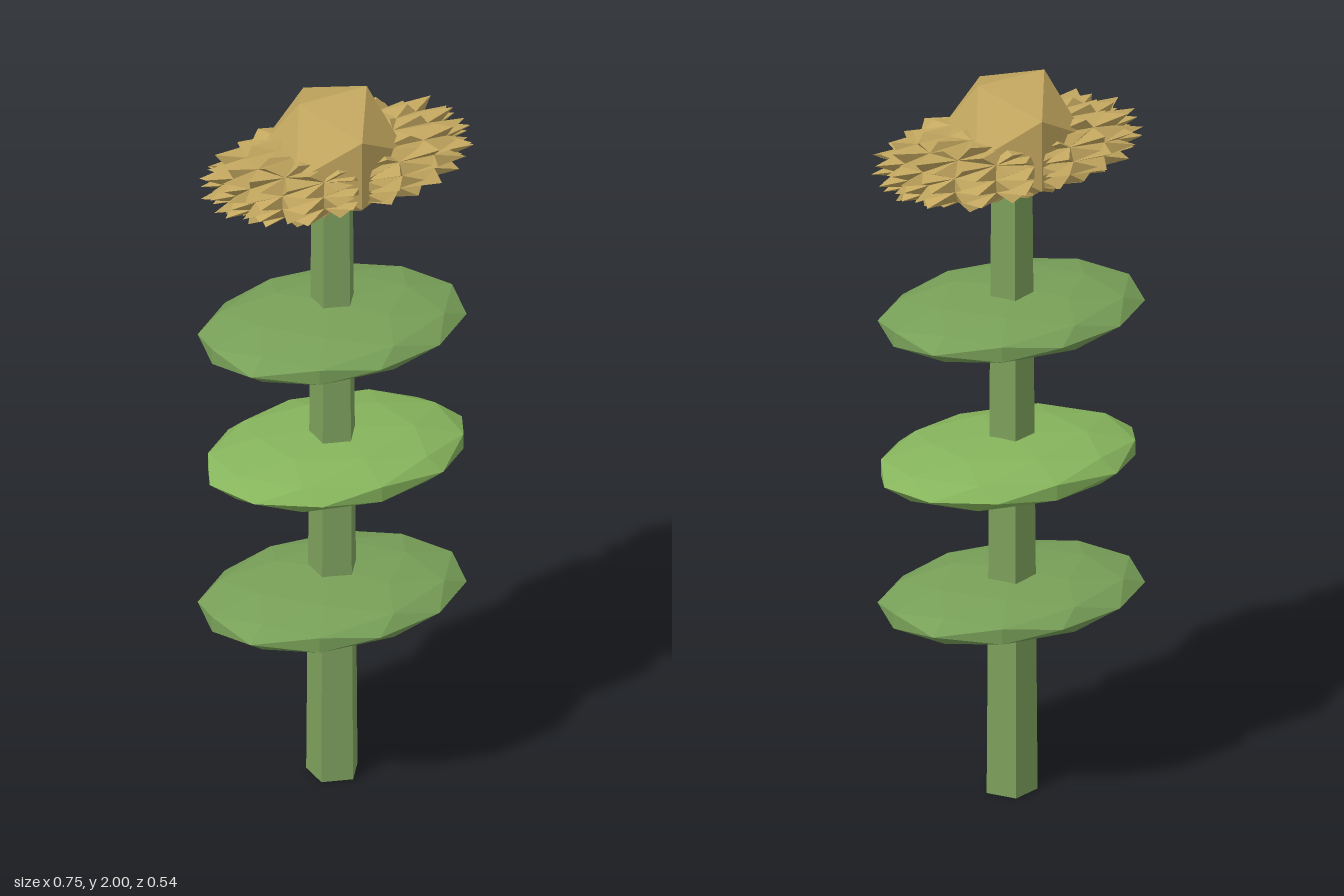
import * as THREE from 'three';

const paint = (color) => new THREE.MeshStandardMaterial({ color, flatShading: true });

function addPart(group, name, geometry, material, x, y, z) {
  const mesh = new THREE.Mesh(geometry, material);
  mesh.name = name;
  mesh.position.set(x, y, z);
  group.add(mesh);
  return mesh;
}

// Flattened, slightly boxy ball with one pointed spike on every facet
function spikyHead(rx, ry, rz) {
  const base = new THREE.IcosahedronGeometry(1, 2).getAttribute('position');
  const p = 2.5;
  const place = (v, r) => {
    const n = (Math.abs(v.x) ** p + Math.abs(v.y) ** p + Math.abs(v.z) ** p) ** (1 / p);
    const k = r / n;
    return [v.x * k * rx, v.y * k * ry, v.z * k * rz];
  };
  let seed = 7;
  const random = () => (seed = (seed * 16807) % 2147483647) / 2147483647;
  const points = [];
  for (let i = 0; i < base.count; i += 3) {
    const c = [0, 1, 2].map((j) => new THREE.Vector3().fromBufferAttribute(base, i + j));
    const mid = c[0].clone().add(c[1]).add(c[2]);
    const tip = place(mid, 0.96 + 0.1 * random());
    for (let j = 0; j < 3; j++) {
      points.push(...place(c[j], 0.85), ...place(c[(j + 1) % 3], 0.85), ...tip);
    }
  }
  const geometry = new THREE.BufferGeometry();
  geometry.setAttribute('position', new THREE.Float32BufferAttribute(points, 3));
  geometry.computeVertexNormals();
  return geometry;
}

export function createModel() {
  const model = new THREE.Group();
  model.name = 'tieredPlant';

  const stemGreen = paint(0x7da05c);
  const leafGreen = paint(0x78a058);
  const brightGreen = paint(0x86b45c);
  const tan = paint(0xc4a860);

  // Five-sided tapering stem
  const stem = new THREE.CylinderGeometry(0.056, 0.07, 1.8, 5);
  stem.rotateY(Math.PI / 2);
  addPart(model, 'stem', stem, stemGreen, -0.013, 0.9, -0.003);

  // Three flat faceted leaf discs, the middle one turned a quarter
  for (let i = 0; i < 3; i++) {
    const middle = i === 1;
    const disc = new THREE.IcosahedronGeometry(1, 1);
    disc.rotateY(THREE.MathUtils.degToRad(middle ? 31.7 : -58.3));
    disc.scale(0.365, 0.069, 0.262);
    addPart(model, 'leafDisc' + (i + 1), disc, middle ? brightGreen : leafGreen,
      middle ? 0 : -0.025, 0.54 + i * 0.397, middle ? -0.014 : 0.013);
  }

  // Spiky flower head with a faceted crown
  addPart(model, 'spikyHead', spikyHead(0.365, 0.105, 0.173), tan, 0, 1.798, -0.008);
  addPart(model, 'crown', new THREE.IcosahedronGeometry(0.187, 0), tan, -0.013, 1.841, -0.006);

  return model;
}
